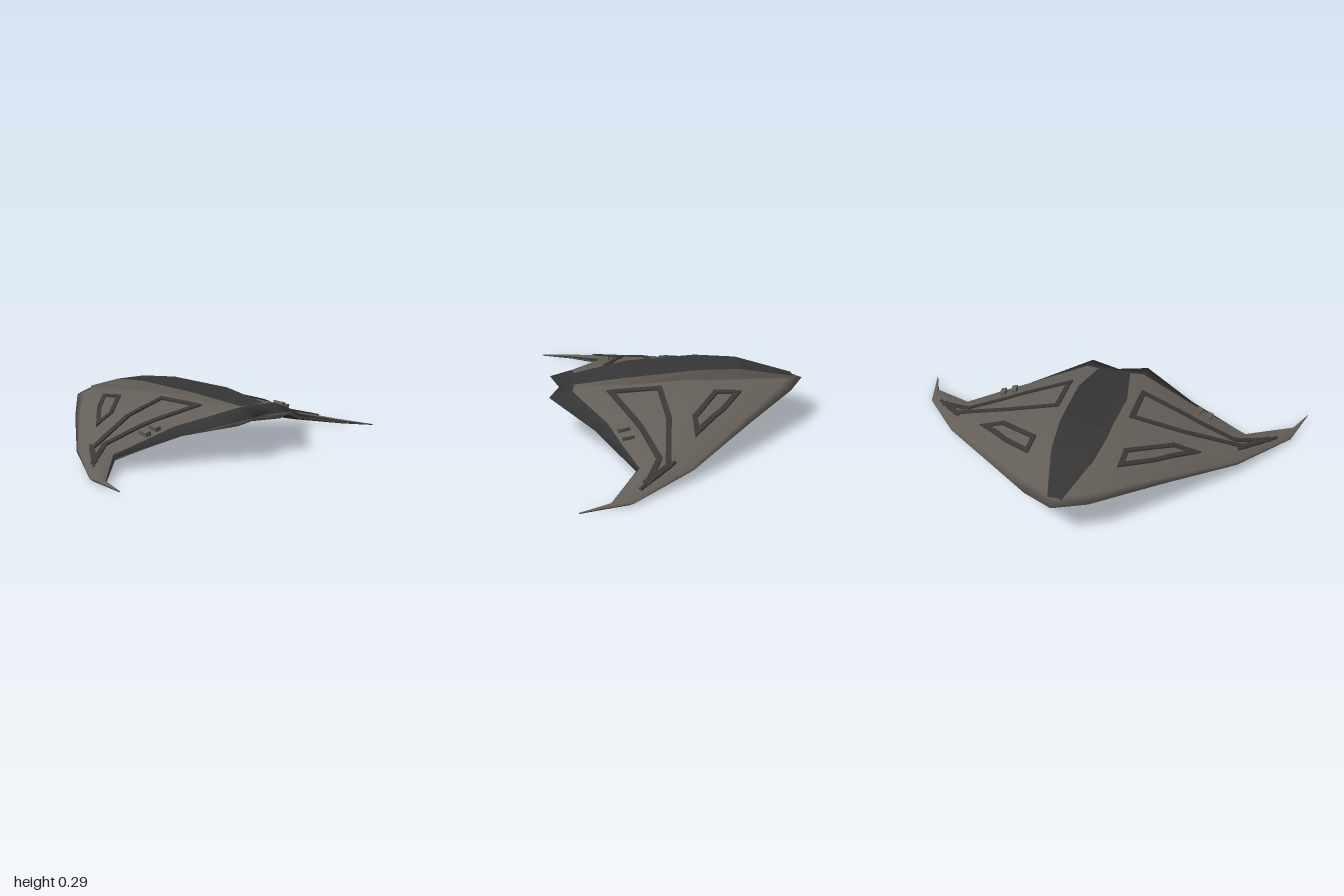
import * as THREE from 'three';

const mat = (name, color, side = THREE.FrontSide) => {
  const m = new THREE.MeshStandardMaterial({ color, side });
  m.name = name;
  return m;
};

// Wing stations: x, rear z, front z, rear y, lip y, crest y, belly y, bevel-top y, bevel share, right-side sweep
const STATIONS = [
  [0, -0.65, 0.54, 0.197, 0.185, 0.25, 0.13, 0.222, 0.07, 0],
  [0.15, -0.57, 0.585, 0.188, 0.188, 0.246, 0.13, 0.218, 0.095, 0],
  [0.42, -0.33, 0.38, 0.138, 0.128, 0.183, 0.112, 0.16, 0.085, 0.05],
  [0.72, -0.04, 0.21, 0.052, 0.056, 0.084, 0.036, 0.07, 0.06, 0.11],
  [0.94, 0.23, 0.33, 0.014, 0.014, 0.026, 0.004, 0.02, 0.05, 0.17],
  [1, 0.46, 0.465, 0.009, 0.009, 0.011, 0.006, 0.01, 0.05, 0.18],
];

function station(ax) {
  let i = 0;
  while (i < STATIONS.length - 2 && ax > STATIONS[i + 1][0]) i++;
  const a = STATIONS[i], b = STATIONS[i + 1];
  const t = (ax - a[0]) / (b[0] - a[0]);
  return a.map((v, k) => v + (b[k] - v) * t);
}

// Top half of a wing section as [chord share, y]
function topProfile([, , , yr, yf, yt, , yft, b]) {
  return [[0, yr], [0.05, yr + (yt - yr) * 0.28], [0.2, yr + (yt - yr) * 0.72],
    [0.45, yt], [0.72, yt + (yft - yt) * 0.45], [1 - b, yft], [1, yf]];
}

function topY(ax, z) {
  const s = station(ax), p = topProfile(s);
  const t = THREE.MathUtils.clamp((z - s[1]) / (s[2] - s[1]), 0, 1);
  let i = 0;
  while (i < p.length - 2 && t > p[i + 1][0]) i++;
  return THREE.MathUtils.mapLinear(t, p[i][0], p[i + 1][0], p[i][1], p[i + 1][1]);
}

const sweep = (side, ax) => (side < 0 ? station(ax)[9] : 0);

// Joins equal rows of points into a surface, one material group per column; wrap closes each row
function loft(rows, { wrap = false, flat = false, slots = [] }) {
  const n = rows[0].length, index = [];
  let g = new THREE.BufferGeometry();
  for (let j = 0; j < (wrap ? n : n - 1); j++) {
    const start = index.length;
    for (let i = 0; i < rows.length - 1; i++) {
      const a = i * n + j, b = i * n + ((j + 1) % n), c = a + n, d = b + n;
      index.push(a, b, c, b, d, c);
    }
    if (slots.length) g.addGroup(start, index.length - start, slots[j]);
  }
  g.setAttribute('position', new THREE.Float32BufferAttribute(rows.flat(2), 3));
  g.setIndex(index);
  if (flat) g = g.toNonIndexed();
  g.computeVertexNormals();
  return g;
}

function hullGeometry() {
  const half = [0.07, 0.15, 0.28, 0.42, 0.57, 0.72, 0.83, 0.94, 1];
  const xs = [...half.map((x) => -x).reverse(), 0, ...half];
  const rows = xs.map((x) => {
    const s = station(Math.abs(x));
    const [, zr, zf, yr, yf, , yb] = s;
    const ring = [...topProfile(s), [0.94, yb + (yf - yb) * 0.3], [0.8, yb],
      [0.5, yb], [0.25, yb + (yr - yb) * 0.25], [0.06, yb + (yr - yb) * 0.75]];
    return ring.map(([t, y]) => [x, y, zr + (zf - zr) * t + sweep(x, Math.abs(x))]);
  });
  // Dark front bevel and belly, lighter top and rims
  return loft(rows, { wrap: true, slots: [0, 0, 0, 0, 0, 1, 0, 1, 1, 1, 1, 0] });
}

// Raised rib that follows the wing surface along a closed or open plan path
function ribGeometry(side, path, width, closed) {
  const pts = [], steps = 6, n = path.length;
  for (let i = 0; i < (closed ? n : n - 1); i++) {
    const a = new THREE.Vector2(...path[i]), b = new THREE.Vector2(...path[(i + 1) % n]);
    for (let k = 0; k < steps; k++) pts.push(a.clone().lerp(b, k / steps));
  }
  if (!closed) pts.push(new THREE.Vector2(...path[n - 1]));
  const m = pts.length;
  const rows = pts.map((p, i) => {
    const prev = closed ? pts[(i + m - 1) % m] : pts[Math.max(i - 1, 0)];
    const next = closed ? pts[(i + 1) % m] : pts[Math.min(i + 1, m - 1)];
    const d1 = p.clone().sub(prev).normalize(), d2 = next.clone().sub(p).normalize();
    const d = d1.clone().add(d2).normalize();
    const miter = Math.min(1 / Math.max(Math.abs(d.dot(d2.length() ? d2 : d1)), 0.1), 2.2);
    const at = (o, h) => {
      const ax = p.x - d.y * o * miter, z = p.y + d.x * o * miter;
      return [side * ax, Math.max(topY(ax, z) + h, 0.004), z + sweep(side, ax)];
    };
    return [at(0, -0.008), at(0, 0.008), at(width, 0.008), at(width, -0.008)];
  });
  if (closed) rows.push(rows[0]);
  return loft(rows, { flat: true });
}

export function createModel() {
  const root = new THREE.Group();
  const hullMat = mat('hull brown grey', 0x655f59);
  const darkMat = mat('charcoal', 0x363636);
  const ribMat = mat('rib dark grey', 0x3b3937, THREE.DoubleSide);
  const podMat = mat('pod grey', 0x434343);

  const add = (name, geometry, material, parent = root) => {
    const mesh = new THREE.Mesh(geometry, material);
    mesh.name = name;
    parent.add(mesh);
    return mesh;
  };

  add('wingHull', hullGeometry(), [hullMat, darkMat]);

  // Raised spine with a dark top: z, base half width, top half width, top y
  const spine = [[-0.6, 0.035, 0.03, 0.217], [-0.33, 0.105, 0.092, 0.283],
    [-0.13, 0.124, 0.113, 0.292], [0.21, 0.135, 0.122, 0.268], [0.47, 0.09, 0.08, 0.225]];
  const spineRows = spine.map(([z, wb, wt, y]) => {
    const base = topY(wb, z) - 0.012;
    return [[wb, base, z], [wt, y, z], [-wt, y, z], [-wb, base, z]];
  });
  add('spine', loft(spineRows, { flat: true, slots: [0, 1, 0] }), [hullMat, darkMat]);

  // Panel frames and vents on both wings
  const rearPanel = [[0.215, -0.32], [0.215, -0.19], [0.42, -0.065], [0.55, -0.065], [0.37, -0.22]];
  const frontPanel = [[0.178, 0.055], [0.18, 0.315], [0.49, 0.18], [0.68, 0.12], [0.87, 0.195],
    [0.74, 0.06], [0.43, 0.03]];
  const tipRib = [[0.71, 0.035], [0.79, 0.11], [0.88, 0.2]];
  for (const side of [1, -1]) {
    const wing = new THREE.Group();
    wing.name = side > 0 ? 'leftWingDetails' : 'rightWingDetails';
    root.add(wing);
    add('rearPanelFrame', ribGeometry(side, rearPanel, -0.023, true), ribMat, wing);
    add('frontPanelFrame', ribGeometry(side, frontPanel, -0.025, true), ribMat, wing);
    add('tipRib', ribGeometry(side, tipRib, 0.012, false), ribMat, wing);
    for (const ax of [0.475, 0.53]) {
      const z = 0.25 - (ax - 0.475) * 0.3;
      const vent = add('vent', new THREE.BoxGeometry(0.027, 0.03, 0.055), hullMat, wing);
      vent.position.set(side * ax, topY(ax, z) + 0.004, z + sweep(side, ax));
      vent.rotation.set(0.12, side * 0.15, -side * 0.28);
    }
    // Small belly knob
    const knob = add('bellyKnob', new THREE.CylinderGeometry(0.055, 0.045, 0.03, 6).toNonIndexed(), podMat, wing);
    knob.geometry.computeVertexNormals();
    knob.position.set(side * 0.2, 0.134, -0.14);
  }

  // Stepped belly turret
  const profile = [[0, 0.08], [0.1, 0.08], [0.114, 0.09], [0.114, 0.106], [0.1, 0.116],
    [0.14, 0.118], [0.16, 0.13], [0.16, 0.145], [0.14, 0.17]].map(([r, y]) => new THREE.Vector2(r, y));
  const turretGeo = new THREE.LatheGeometry(profile, 20).toNonIndexed();
  turretGeo.computeVertexNormals();
  add('bellyTurret', turretGeo, podMat).position.z = -0.27;

  return root;
}
